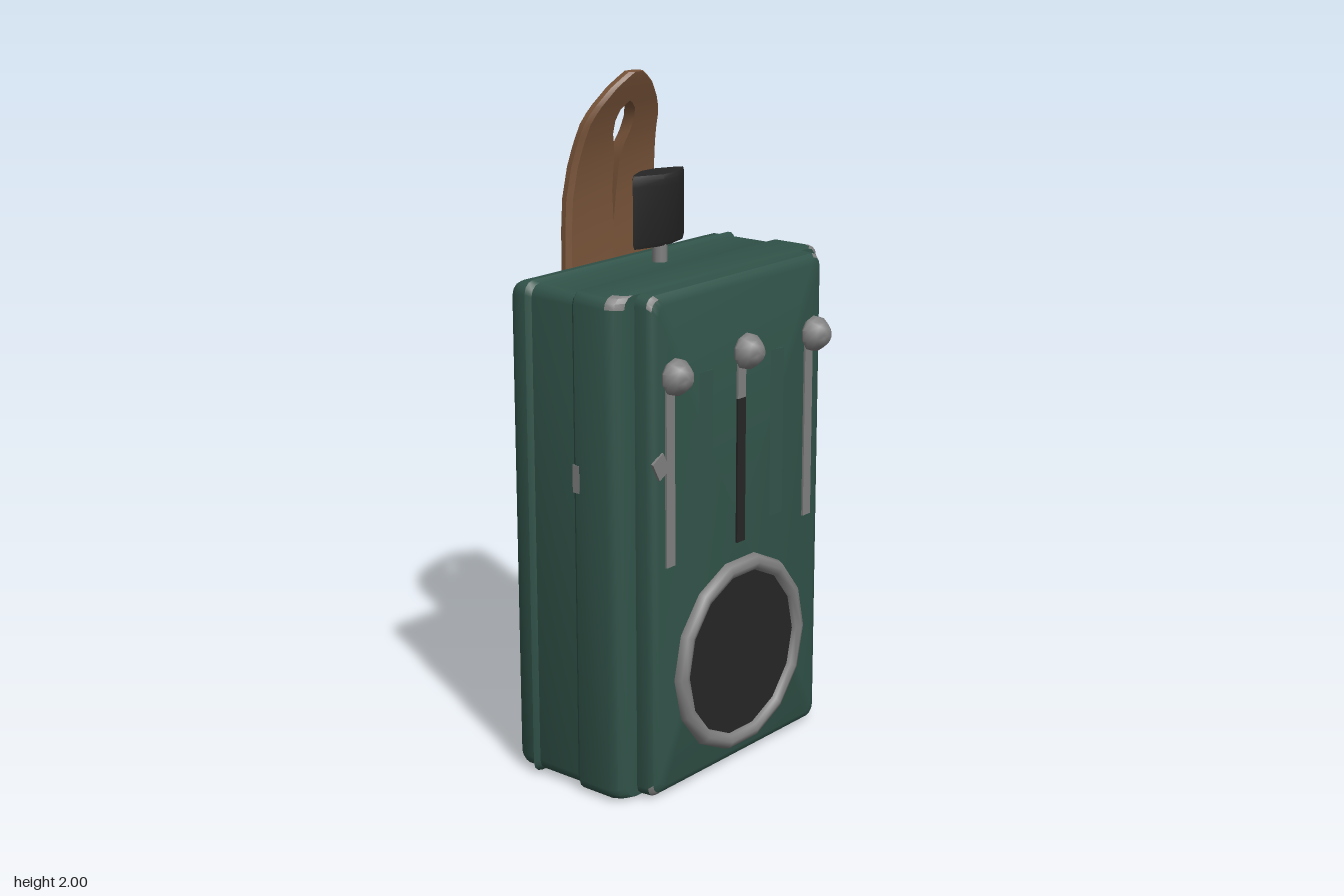
import * as THREE from 'three';
import { toCreasedNormals } from 'three/addons/utils/BufferGeometryUtils.js';

const mat = (name, color) => {
  const m = new THREE.MeshStandardMaterial({ color });
  m.name = name;
  return m;
};

// Skin a stack of closed cross-sections; pick(row, column) gives the material index
function loft(rings, pick = () => 0) {
  const buckets = [[], []];
  const n = rings[0].length;
  const centre = (r) => [0, 1, 2].map((k) => r.reduce((s, p) => s + p[k], 0) / n);
  const first = rings[0], last = rings[rings.length - 1];
  const c0 = centre(first), c1 = centre(last);
  for (let j = 0; j < n; j++) {
    const k = (j + 1) % n;
    for (let i = 0; i < rings.length - 1; i++) {
      const a = rings[i][j], b = rings[i][k], c = rings[i + 1][k], d = rings[i + 1][j];
      buckets[pick(i, j)].push(...a, ...b, ...c, ...a, ...c, ...d);
    }
    buckets[0].push(...c0, ...first[k], ...first[j], ...c1, ...last[j], ...last[k]);
  }
  const g = new THREE.BufferGeometry();
  g.setAttribute('position', new THREE.Float32BufferAttribute(buckets.flat(), 3));
  g.addGroup(0, buckets[0].length / 3, 0);
  if (buckets[1].length) g.addGroup(buckets[0].length / 3, buckets[1].length / 3, 1);
  return toCreasedNormals(g, 0.6);
}

// Rounded rectangle in the xy plane, four points per corner
function roundedRing([z, hw, inset, r]) {
  const y0 = inset, y1 = 1.47 - inset, pts = [];
  for (let k = 0; k < 4; k++) {
    const cx = (k === 0 || k === 3 ? 1 : -1) * (hw - r);
    const cy = k < 2 ? y1 - r : y0 + r;
    for (let i = 0; i < 4; i++) {
      const a = (k + i / 3) * Math.PI / 2;
      pts.push([cx + r * Math.cos(a), cy + r * Math.sin(a), z]);
    }
  }
  return pts;
}

export function createModel() {
  const model = new THREE.Group();
  const green = mat('greenPaint', 0x315349);
  const grey = mat('bareMetal', 0x808080);
  const black = mat('blackPlastic', 0x262626);
  const brown = mat('leather', 0x7a553a);
  const add = (name, geo, material, x = 0, y = 0, z = 0) => {
    const m = new THREE.Mesh(geo, material);
    m.name = name;
    m.position.set(x, y, z);
    model.add(m);
    return m;
  };
  const CX = -0.01;

  // Case: depth, half width, top and bottom inset, corner radius
  const profile = [
    [-0.245, 0.425, 0.035, 0.03], [-0.235, 0.447, 0.016, 0.035], [-0.215, 0.455, 0.008, 0.035],
    [-0.18, 0.455, 0.008, 0.035], [-0.17, 0.467, 0, 0.035], [-0.155, 0.455, 0.008, 0.035],
    [-0.005, 0.455, 0.008, 0.035], [0.01, 0.467, 0, 0.035], [0.12, 0.467, 0, 0.035],
    [0.145, 0.455, 0.001, 0.035], [0.16, 0.43, 0.002, 0.035], [0.161, 0.39, 0.002, 0.03],
    [0.2, 0.388, 0.004, 0.03], [0.213, 0.38, 0.014, 0.03], [0.22, 0.36, 0.032, 0.03],
  ];
  // Worn paint on chosen corners of the rims
  const worn = (row, col) => {
    if (col % 4 === 3) return 0;
    const corner = Math.floor(col / 4);
    if (row === 1 || row === 2) return corner === 0 || corner === 3 ? 1 : 0;
    if (row === 8 || row === 9) return corner < 2 ? 1 : 0;
    return row === 12 && corner !== 3 ? 1 : 0;
  };
  add('case', loft(profile.map(roundedRing), worn), [green, grey], CX);

  // Shallow pressed ribs between the sliders
  for (const x of [-0.17, 0.155]) {
    const rib = new THREE.Shape([[-0.035, 0], [0.035, 0], [-0.03, 0.006]].map((p) => new THREE.Vector2(...p)));
    const g = new THREE.ExtrudeGeometry(rib, { depth: 0.5, bevelEnabled: false });
    add('pressedRib', g.rotateX(-Math.PI / 2).rotateY(Math.PI).scale(-1, 1, 1).scale(-1, 1, 1), green, x, 0.72, 0.219);
  }

  // Slider tracks and knobs
  const knobProfile = [[0, 0], [0.02, 0], [0.02, 0.013], [0.046, 0.013], [0.053, 0.022], [0.051, 0.038],
    [0.036, 0.06], [0.02, 0.074], [0, 0.076]].map((p) => new THREE.Vector2(...p));
  const knobGeo = toCreasedNormals(new THREE.LatheGeometry(knobProfile, 10).rotateX(Math.PI / 2), 0.9);
  const plate = (name, material, x, y0, y1, w = 0.036) =>
    add(name, new THREE.BoxGeometry(w, y1 - y0, 0.008), material, x, (y0 + y1) / 2, 0.222);
  for (const [x, y] of [[-0.325, 1.24], [-0.01, 1.25], [0.307, 1.24]]) add('sliderKnob', knobGeo, grey, x, y, 0.218);
  plate('leftTrack', grey, 0.307, 0.68, 1.21);
  plate('rightTrack', grey, -0.325, 0.69, 1.21);
  plate('middleTrackTop', grey, -0.01, 1.11, 1.21);
  plate('middleTrack', black, -0.01, 0.68, 1.11);
  plate('wornPatch', grey, -0.365, 0.96, 1.02, 0.05).rotation.z = 0.5;

  // Round speaker with a raised rim
  add('speakerRim', new THREE.TorusGeometry(0.27, 0.026, 8, 14), grey, CX, 0.34, 0.223);
  add('speakerCone', new THREE.CylinderGeometry(0.262, 0.262, 0.012, 14).rotateX(Math.PI / 2), black, CX, 0.34, 0.224);

  // Top switch: stem and wedge-shaped grip
  add('switchStem', new THREE.CylinderGeometry(0.022, 0.022, 0.08, 10), grey, -0.005, 1.49, -0.082);
  const gripOutline = [[0.03, 0.047], [0.1, 0.012], [0.113, 0], [0.1, -0.012], [0.03, -0.047],
    [-0.03, -0.047], [-0.1, -0.012], [-0.113, 0], [-0.1, 0.012], [-0.03, 0.047]];
  const gripRows = [[1.512, 0.95, 0.5], [1.525, 1, 0.6], [1.69, 1, 0.98], [1.71, 1, 1], [1.722, 0.97, 0.9]];
  add('switchGrip', loft(gripRows.map(([y, sx, sz]) => gripOutline.map(([x, z]) => [x * sx, y, z * sz]))),
    black, -0.005, 0, -0.085);

  // Leather tab: height, depth, inner edge (keyhole) and outer edge of each half
  const tabRows = [
    [1.28, -0.27, 0, 0.185], [1.29, -0.27, 0, 0.194], [1.45, -0.273, 0, 0.195], [1.56, -0.272, 0, 0.195],
    [1.65, -0.269, 0.009, 0.192], [1.74, -0.258, 0.012, 0.182], [1.79, -0.247, 0.024, 0.174],
    [1.82, -0.239, 0.037, 0.169], [1.86, -0.226, 0.041, 0.162], [1.89, -0.215, 0.032, 0.147],
    [1.908, -0.208, 0.012, 0.135], [1.915, -0.205, 0, 0.13], [1.96, -0.187, 0, 0.09],
    [1.985, -0.177, 0, 0.055], [2, -0.172, 0, 0.03],
  ];
  const tabHalf = (s) => loft(tabRows.map(([y, z, a, b]) => {
    const t = 0.02;
    const ring = [[a, z - t], [a, z + t], [b - 0.015, z + t], [b, z + t * 0.4], [b, z - t * 0.4], [b - 0.015, z - t]]
      .map(([x, zz]) => [s * x, y, zz]);
    return s > 0 ? ring : ring.reverse();
  }));
  for (const s of [1, -1]) {
    add('leatherTab', tabHalf(s), brown, CX);
    add('tabRivet', new THREE.CylinderGeometry(0.021, 0.021, 0.01, 10).rotateX(Math.PI / 2), grey, CX + s * 0.06, 1.37, -0.289);
  }

  // Wire belt loop on the back, hinged on a bar
  const half = [[0.165, 0.21], [0.198, 0.31], [0.14, 0.4], [0.205, 0.5], [0.195, 0.55], [0.075, 0.67], [0.05, 0.75], [0.045, 0.9]];
  const wire = [...half, [0, 0.962], ...half.map(([x, y]) => [-x, y]).reverse()]
    .map(([x, y]) => new THREE.Vector3(x, y, -0.268));
  add('beltWire', new THREE.TubeGeometry(new THREE.CatmullRomCurve3(wire, false, 'catmullrom', 0.4), 90, 0.011, 6), grey, CX);
  add('wireHinge', new THREE.CylinderGeometry(0.023, 0.023, 0.34, 8).rotateZ(Math.PI / 2), grey, CX, 0.2, -0.267);
  for (const [x, y, r] of [[0.03, 0.92, 0.045], [-0.03, 0.99, 0.025]])
    add('wornPatch', new THREE.CylinderGeometry(r, r, 0.006, 7).rotateX(Math.PI / 2), grey, x, y, -0.246);

  // Side latch wrapping round the left back edge
  const outer = [[0.458, 0.02], [0.465, -0.02], [0.467, -0.15], [0.476, -0.175], [0.468, -0.23], [0.445, -0.254], [0.4, -0.254]];
  const inner = [[0.4, -0.24], [0.43, -0.24], [0.448, -0.22], [0.45, -0.15], [0.44, 0.02]];
  const latch = new THREE.Shape([...outer, ...inner].map(([x, z]) => new THREE.Vector2(x, -z)));
  add('sideLatch', toCreasedNormals(
    new THREE.ExtrudeGeometry(latch, { depth: 0.16, bevelEnabled: false }).rotateX(-Math.PI / 2), 0.7), grey, 0, 0.7);

  // Rubbed spots on the side rims and underside
  for (const s of [1, -1])
    add('wornPatch', new THREE.BoxGeometry(0.006, 0.08, 0.024), grey, CX + s * 0.465, 0.94, 0.012);
  add('wornPatch', new THREE.CylinderGeometry(0.045, 0.045, 0.006, 8), grey, CX, 0.001, 0.08);

  return model;
}
